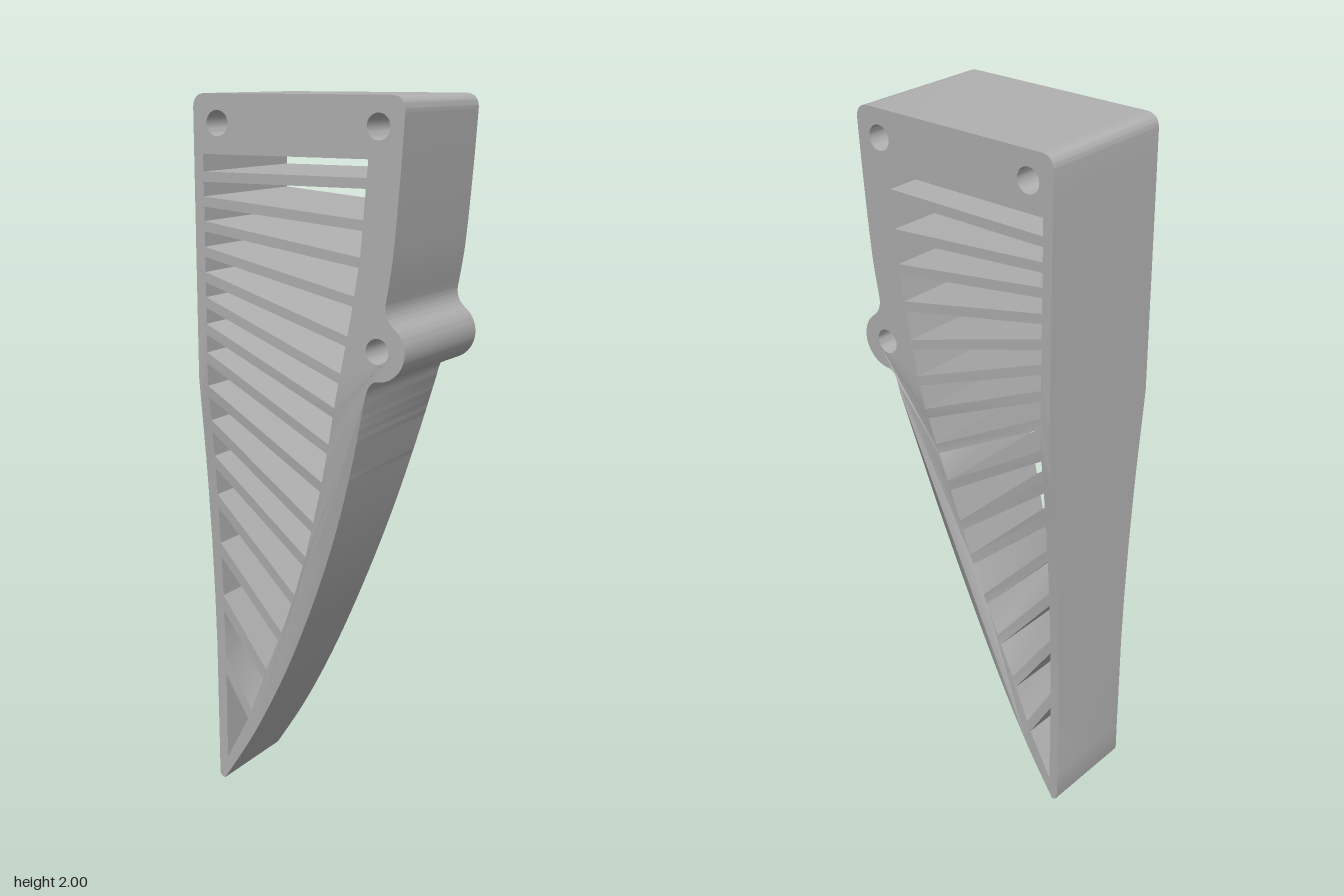
import * as THREE from 'three';
import { toCreasedNormals } from 'three/addons/utils/BufferGeometryUtils.js';

const V = (x, y) => new THREE.Vector2(x, y);
const LEFT = -0.323, INNER = -0.294, SLAT = 0.0135;

// inner edge of the curved rim as [y, x]
const rim = [[0.07, -0.292], [0.22, -0.214], [0.365, -0.158], [0.49, -0.103], [0.61, -0.055], [0.735, -0.012],
  [0.83, 0.016], [0.95, 0.05], [1.07, 0.081], [1.17, 0.105], [1.27, 0.127], [1.37, 0.149], [1.48, 0.17],
  [1.6, 0.19], [1.842, 0.212]];
function rimX(y) {
  let i = 0;
  while (i < rim.length - 2 && y > rim[i + 1][0]) i++;
  const [y0, x0] = rim[i], [y1, x1] = rim[i + 1];
  return x0 + (x1 - x0) * (y - y0) / (y1 - y0);
}

// slat centre heights [at the straight wall, at the curved rim]
const slats = [[1.782, 1.782], [1.716, 1.676], [1.65, 1.581], [1.581, 1.48], [1.512, 1.374], [1.443, 1.273],
  [1.369, 1.178], [1.289, 1.072], [1.194, 0.96], [1.093, 0.838], [0.987, 0.732], [0.87, 0.61],
  [0.721, 0.488], [0.557, 0.361], [0.361, 0.223]];

// corners of a slat's upper (side = 1) or lower (side = -1) edge
function slatEdge([yl, yr], side) {
  const slope = (yr - yl) / (rimX(yr) - INNER);
  const off = side * SLAT * Math.hypot(1, slope);
  let y = yr + off;
  for (let i = 0; i < 12; i++) y = (y + yr + off + slope * (rimX(y) - rimX(yr))) / 2;
  return [V(INNER, yl + off), V(rimX(y), y)];
}

function bracketShape() {
  const s = new THREE.Shape();
  // tip and curved lower edge
  s.moveTo(LEFT, 0.02);
  s.quadraticCurveTo(LEFT, 0, -0.305, 0);
  s.splineThru([V(-0.2, 0.165), V(-0.095, 0.365), V(0.003, 0.59), V(0.085, 0.81), V(0.15, 1.02), V(0.207, 1.235)]);
  // screw boss with fillets
  s.quadraticCurveTo(0.218, 1.275, 0.241, 1.275);
  s.absarc(0.241, 1.355, 0.08, -Math.PI / 2, Math.PI * 50 / 180, false);
  s.quadraticCurveTo(0.258, 1.442, 0.265, 1.48);
  // upper edge and rounded top corners
  s.splineThru([V(0.285, 1.6), V(0.304, 1.8), V(0.316, 1.96)]);
  s.quadraticCurveTo(0.317, 2, 0.275, 2);
  s.lineTo(-0.283, 2);
  s.quadraticCurveTo(LEFT, 2, LEFT, 1.96);
  // straight wall, with enough points to follow the taper
  for (let i = 1; i < 24; i++) s.lineTo(LEFT - 0.0006 * Math.sin(Math.PI * i / 24), 1.96 - 1.94 * i / 24);
  s.closePath();

  // screw holes
  for (const [x, y] of [[-0.247, 1.923], [0.241, 1.923], [0.241, 1.355]]) {
    s.holes.push(new THREE.Path().absarc(x, y, 0.034, 0, Math.PI * 2, true));
  }
  // slots between the slats
  let top = [V(INNER, 1.842), V(0.212, 1.842)];
  for (const slat of slats) {
    const low = slatEdge(slat, 1);
    s.holes.push(new THREE.Path([top[0], top[1], low[1], low[0]]));
    top = slatEdge(slat, -1);
  }
  s.holes.push(new THREE.Path([top[0], top[1], V(INNER, 0.07)]));
  return s;
}

// half thickness: full at the top, narrowing in a curve towards the tip
function halfDepth(y) {
  const t = THREE.MathUtils.clamp((y - 0.25) / 0.97, 0, 1);
  return 0.146 + 0.063 * t * t;
}

export function createModel() {
  const group = new THREE.Group();
  group.name = 'louvredBracket';
  const grey = new THREE.MeshStandardMaterial({ color: 0xb0b0b0 });
  grey.name = 'grey';

  const geo = new THREE.ExtrudeGeometry(bracketShape(), { depth: 1, bevelEnabled: false, curveSegments: 14 });
  const p = geo.attributes.position;
  for (let i = 0; i < p.count; i++) p.setZ(i, (p.getZ(i) * 2 - 1) * halfDepth(p.getY(i)));
  geo.clearGroups();

  const body = new THREE.Mesh(toCreasedNormals(geo, 0.6), grey);
  body.name = 'slattedBody';
  group.add(body);
  return group;
}
